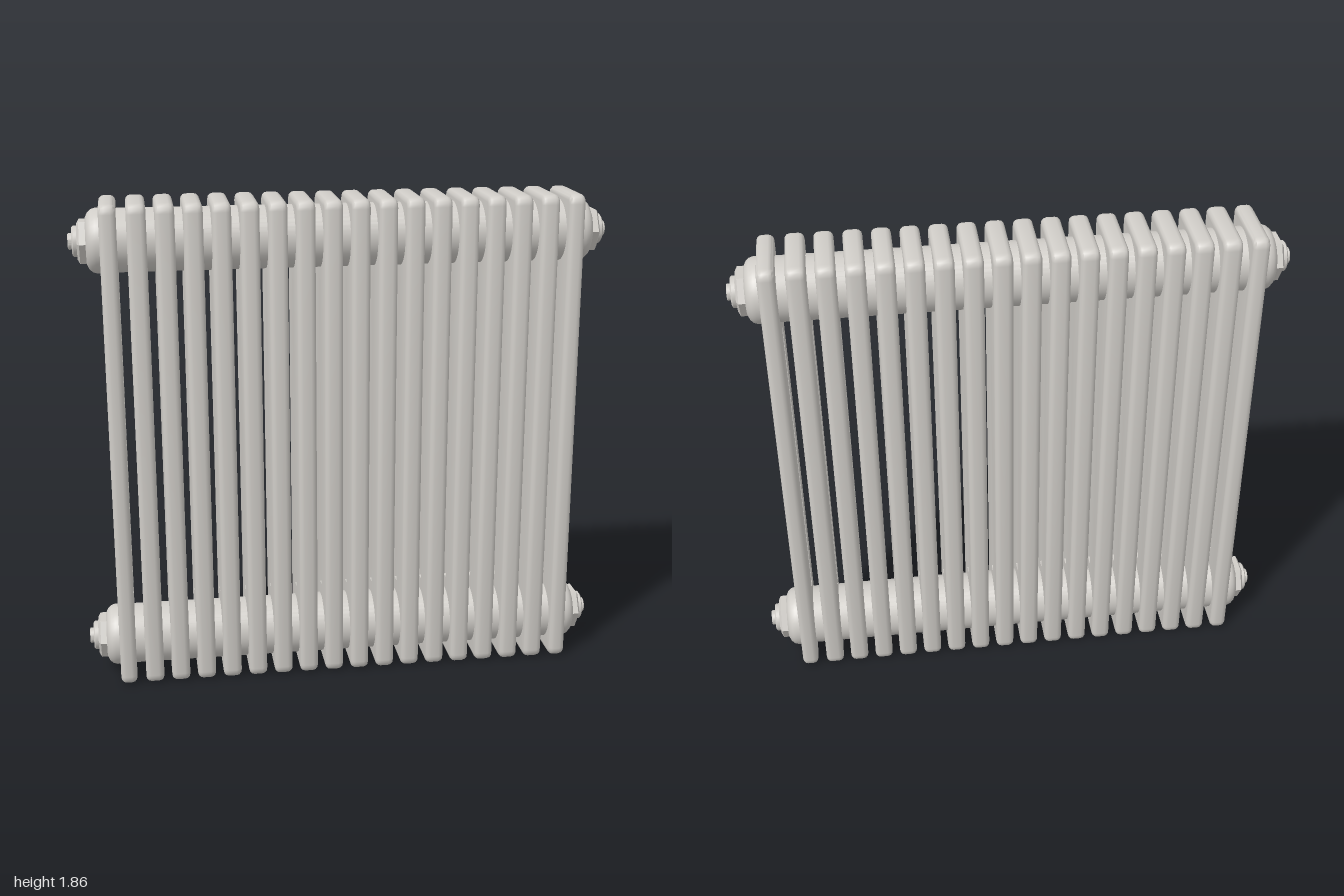
import * as THREE from 'three';
import { toCreasedNormals } from 'three/addons/utils/BufferGeometryUtils.js';

const FINS = 18, PITCH = 0.1006;
const HEIGHT = 1.86, HALF_DEPTH = 0.147;
const SLOT = { low: 0.32, high: 1.55, half: 0.021 };
const PIPE_HEIGHTS = [0.155, 1.712];

// Slab lying in the z-y plane with rounded rim and a crisp vertical slot
function finGeometry(thickness) {
  const bevel = 0.02, r = 0.016;
  const w = HALF_DEPTH - bevel, lo = bevel, hi = HEIGHT - bevel;
  const s = new THREE.Shape();
  s.moveTo(-w + r, lo);
  s.lineTo(w - r, lo);
  s.quadraticCurveTo(w, lo, w, lo + r);
  s.lineTo(w, hi - r);
  s.quadraticCurveTo(w, hi, w - r, hi);
  s.lineTo(-w + r, hi);
  s.quadraticCurveTo(-w, hi, -w, hi - r);
  s.lineTo(-w, lo + r);
  s.quadraticCurveTo(-w, lo, -w + r, lo);

  const hole = new THREE.Path();
  const h = 0.04;
  hole.moveTo(-h, SLOT.low - 0.02);
  hole.lineTo(-h, SLOT.high + 0.02);
  hole.lineTo(h, SLOT.high + 0.02);
  hole.lineTo(h, SLOT.low - 0.02);
  hole.closePath();
  s.holes.push(hole);

  const geo = new THREE.ExtrudeGeometry(s, {
    depth: thickness - 2 * bevel, bevelEnabled: true, bevelSize: bevel,
    bevelThickness: bevel, bevelSegments: 3, curveSegments: 4,
  });
  // Straighten the slot walls so only the outer rim is rounded
  const p = geo.attributes.position;
  for (let i = 0; i < p.count; i++) {
    const x = p.getX(i), y = p.getY(i);
    if (Math.abs(x) < 0.06 && y > 0.2 && y < 1.65) {
      p.setXY(i, Math.sign(x) * SLOT.half, y < 1 ? SLOT.low : SLOT.high);
    }
  }
  geo.translate(0, 0, -thickness / 2 + bevel);
  geo.rotateY(Math.PI / 2);
  return toCreasedNormals(geo, 0.65);
}

// Turned part along +x from [x, radius] pairs
function turned(points, sides) {
  const geo = new THREE.LatheGeometry(points.map(([x, r]) => new THREE.Vector2(r, x)), sides);
  geo.rotateZ(-Math.PI / 2);
  return toCreasedNormals(geo, 0.5);
}

export function createModel() {
  const model = new THREE.Group();
  model.name = 'columnRadiator';
  const enamel = new THREE.MeshStandardMaterial({ color: 0xd0cdc8 });
  enamel.name = 'warmGreyEnamel';

  const add = (parent, name, geo) => {
    const mesh = new THREE.Mesh(geo, enamel);
    mesh.name = name;
    parent.add(mesh);
    return mesh;
  };

  // Row of slotted columns, the end ones slightly thinner
  const inner = finGeometry(0.07), outer = finGeometry(0.062);
  for (let i = 0; i < FINS; i++) {
    const end = i === 0 || i === FINS - 1;
    add(model, 'column' + (i + 1), end ? outer : inner).position.x = (i - (FINS - 1) / 2) * PITCH;
  }

  // Header pipes with their end fittings
  const pipe = new THREE.CylinderGeometry(0.116, 0.116, 1.72, 40, 1, true).rotateZ(Math.PI / 2);
  const cap = turned([[0.86, 0.118], [0.9, 0.118], [0.915, 0.113], [0.927, 0.102], [0.935, 0.085], [0.937, 0]], 40);
  const nut = turned([[0.93, 0.087], [0.958, 0.087], [0.967, 0.07], [0.967, 0]], 6);
  const collar = turned([[0.96, 0.056], [0.98, 0.056], [0.985, 0.05], [0.985, 0]], 32);
  const stud = turned([[0.98, 0.03], [0.997, 0.03], [1, 0.027], [1, 0]], 24);

  for (const y of PIPE_HEIGHTS) {
    const header = new THREE.Group();
    header.name = y < 1 ? 'lowerHeader' : 'upperHeader';
    header.position.y = y;
    add(header, 'pipe', pipe);
    for (const side of ['left', 'right']) {
      const fitting = new THREE.Group();
      fitting.name = side + 'Fitting';
      if (side === 'right') fitting.rotation.y = Math.PI;
      add(fitting, 'domedCap', cap);
      add(fitting, 'hexNut', nut);
      add(fitting, 'collar', collar);
      add(fitting, 'stud', stud);
      header.add(fitting);
    }
    model.add(header);
  }
  return model;
}
